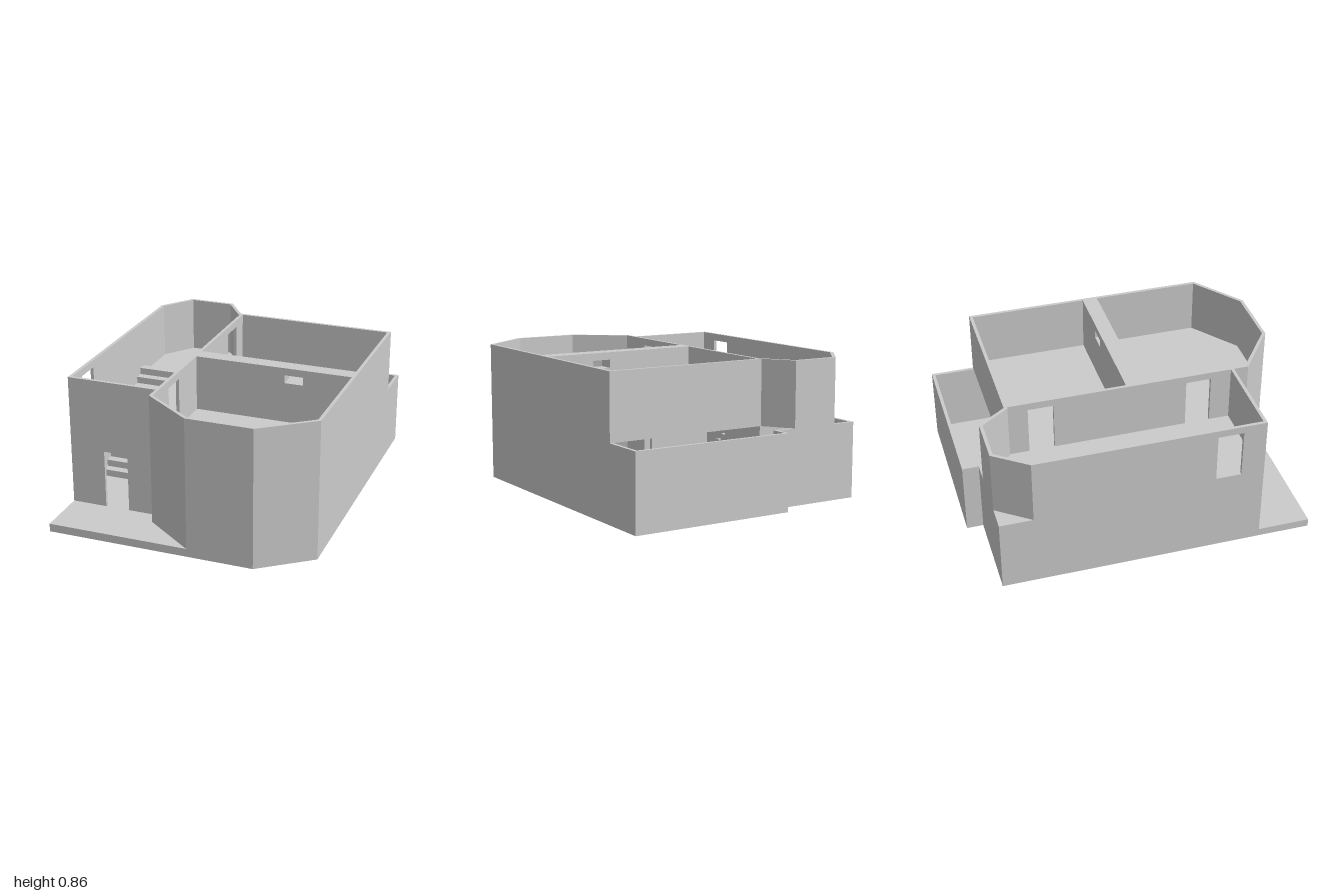
import * as THREE from 'three';

const material = new THREE.MeshStandardMaterial({ color: 0xcccccc, flatShading: true });
const THICK = 0.02;
const BASE = 0.05, MID = 0.46, FLOOR = 0.51, TOP = 0.855;

// Upright prism over a plan given as [x, z] points
function prism(name, plan, y0, y1, hole) {
  const toVec = ([x, z]) => new THREE.Vector2(x, -z);
  const shape = new THREE.Shape(plan.map(toVec));
  if (hole) shape.holes.push(new THREE.Path(hole.map(toVec)));
  const geometry = new THREE.ExtrudeGeometry(shape, { depth: y1 - y0, bevelEnabled: false });
  geometry.rotateX(-Math.PI / 2).translate(0, y0, 0);
  const mesh = new THREE.Mesh(geometry, material);
  mesh.name = name;
  return mesh;
}

const rect = (x0, z0, x1, z1) => [[x0, z1], [x1, z1], [x1, z0], [x0, z0]];

// Inward unit normal of the wall line a -> b
function inward(a, b) {
  const dx = b[0] - a[0], dz = b[1] - a[1], l = Math.hypot(dx, dz);
  return [dz / l, -dx / l];
}

// Wall from a to b; inner corners may be mitred; opening = [from, to, bottom, top]
function wall(name, a, b, y0, y1, { thick = THICK, innerA, innerB, opening } = {}) {
  const group = new THREE.Group();
  group.name = name;
  const n = inward(a, b), length = Math.hypot(b[0] - a[0], b[1] - a[1]);
  const at = (d) => [a[0] + (b[0] - a[0]) * d / length, a[1] + (b[1] - a[1]) * d / length];
  const inside = (p) => [p[0] + n[0] * thick, p[1] + n[1] * thick];
  const endA = innerA || inside(a), endB = innerB || inside(b);
  if (!opening) {
    group.add(prism(name, [a, b, endB, endA], y0, y1));
    return group;
  }
  const [from, to, bottom, top] = opening;
  const p = at(from), q = at(to);
  group.add(prism(name + 'Start', [a, p, inside(p), endA], y0, y1));
  group.add(prism(name + 'End', [q, b, endB, inside(q)], y0, y1));
  const middle = [p, q, inside(q), inside(p)];
  if (bottom > y0) group.add(prism(name + 'Sill', middle, y0, bottom));
  if (top < y1) group.add(prism(name + 'Lintel', middle, top, y1));
  return group;
}

// Closed ring of mitred walls; openings are keyed by edge index
function wallRing(name, outline, y0, y1, openings) {
  const group = new THREE.Group();
  group.name = name;
  const count = outline.length;
  const inner = outline.map((p, i) => {
    const n1 = inward(outline[(i + count - 1) % count], p);
    const n2 = inward(p, outline[(i + 1) % count]);
    const k = THICK / (1 + n1[0] * n2[0] + n1[1] * n2[1]);
    return [p[0] + (n1[0] + n2[0]) * k, p[1] + (n1[1] + n2[1]) * k];
  });
  outline.forEach((p, i) => {
    const j = (i + 1) % count;
    group.add(wall(name + 'Side', p, outline[j], y0, y1,
      { innerA: inner[i], innerB: inner[j], opening: openings[i] }));
  });
  return group;
}

export function createModel() {
  const model = new THREE.Group();
  model.name = 'house';

  const bay = [[0.08, 1], [0.48, 1], [0.785, 0.77]];
  const frontPart = [[-0.785, 0.68], [-0.23, 0.68], [-0.23, 0.77], ...bay];
  const rearLow = [[0.785, -1], [-0.23, -1], [-0.23, -0.9], [-0.785, -0.9]];
  const rearHigh = [[0.785, -0.73], [-0.23, -0.73], [-0.35, -0.9], [-0.64, -0.9], [-0.785, -0.7]];

  // Ground slab with the porch
  model.add(prism('groundSlab', [[-0.785, 1], ...bay.slice(1), ...rearLow], 0, BASE));

  // Ground storey with the front door
  model.add(wallRing('lowerWall', [...frontPart, ...rearLow], BASE, MID,
    { 0: [0.215, 0.365, BASE, 0.41] }));
  model.add(wall('lowerCrossWall', [-0.21, -0.15], [0.765, -0.15], BASE, MID,
    { opening: [0.38, 0.72, BASE, 0.41] }));
  model.add(wall('lowerHallWall', [-0.23, -0.17], [-0.23, 0.68], BASE, MID,
    { opening: [0.55, 0.71, BASE, 0.41] }));

  // Upper floor with the stairwell cut out
  model.add(prism('upperFloor', [...frontPart, ...rearHigh], MID, FLOOR,
    rect(-0.765, -0.34, -0.51, 0.3)));

  // Upper storey, with a tall opening in the hall's outer wall
  model.add(wallRing('upperWall', [...frontPart, ...rearHigh], FLOOR, TOP,
    { 10: [1.085, 1.24, FLOOR, 0.81] }));

  // Hall partition in two runs, each with a doorway
  model.add(wall('hallPartitionRear', [-0.23, -0.72], [-0.23, 0.05], FLOOR, TOP,
    { opening: [0.13, 0.285, FLOOR, 0.81] }));
  model.add(wall('hallPartitionFront', [-0.23, 0.05], [-0.23, 0.68], FLOOR, TOP,
    { opening: [0.33, 0.485, FLOOR, 0.81] }));

  // Thick wall between the two rooms, with a small high window
  model.add(wall('thickPartition', [-0.21, 0.105], [0.765, 0.105], FLOOR, TOP,
    { thick: 0.095, opening: [0.565, 0.68, 0.76, 0.81] }));

  // Straight stair rising towards the back
  const stair = new THREE.Group();
  stair.name = 'stair';
  const steps = 12, run = 0.64 / steps, rise = 0.0425;
  for (let i = 0; i < steps; i++) {
    const z = 0.3 - i * run;
    stair.add(prism('step', rect(-0.765, z - run, -0.51, z), BASE, BASE + (i + 1) * rise));
  }
  model.add(stair);

  return model;
}
